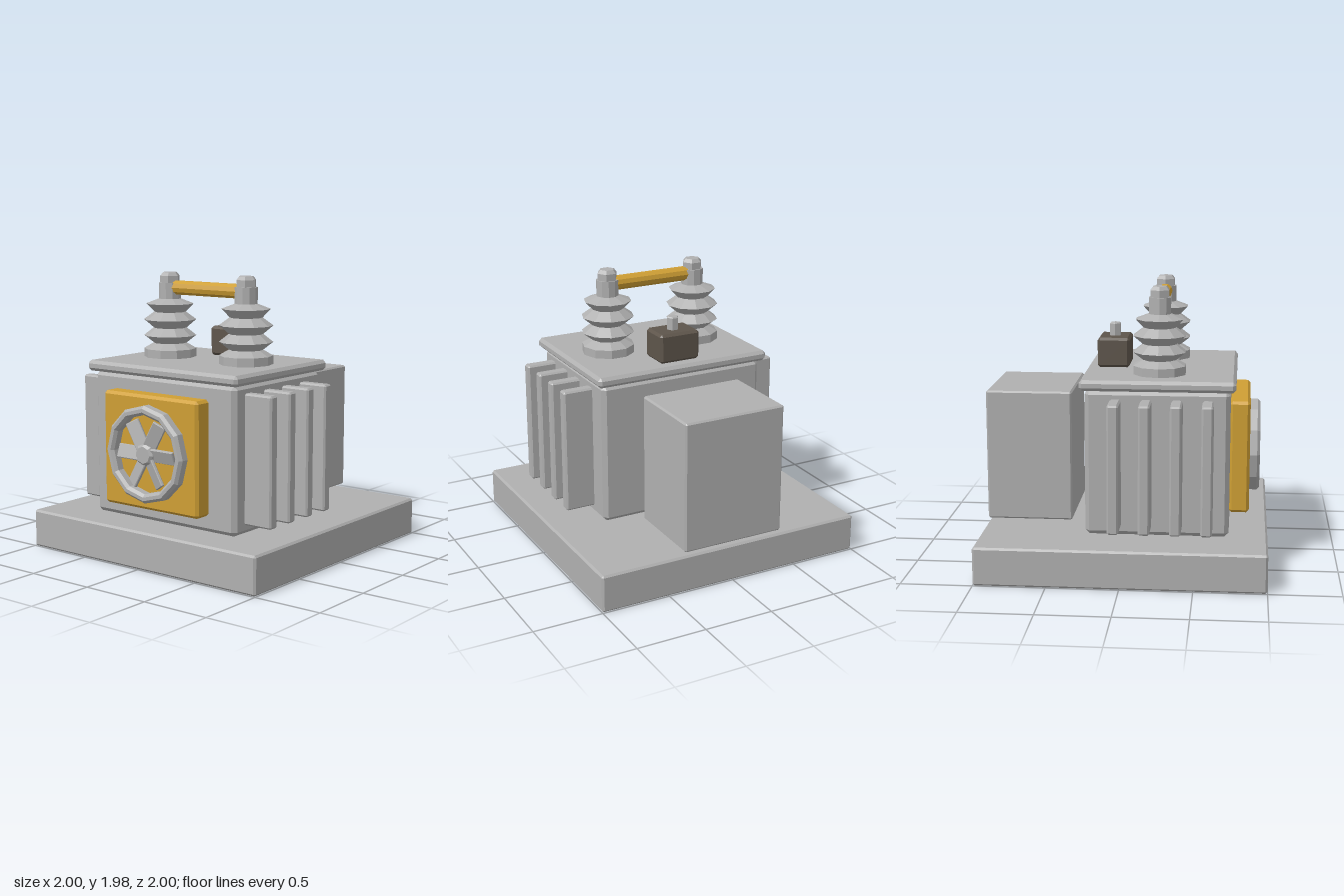
import * as THREE from 'three';
import { ConvexGeometry } from 'three/addons/geometries/ConvexGeometry.js';

export function createModel() {
  const model = new THREE.Group();
  model.name = 'powerTransformer';
  const material = (name, color, extra = {}) => {
    const m = new THREE.MeshStandardMaterial({ color });
    m.name = name;
    m.flatShading = true;
    return Object.assign(m, extra);
  };
  const grey = material('grey metal', 0xb0b0b0);
  const yellow = material('yellow paint', 0xcf9f34);
  const brown = material('dark brown', 0x5e554b);

  const add = (name, geometry, mat, parent = model) => {
    const mesh = new THREE.Mesh(geometry, mat);
    mesh.name = name;
    parent.add(mesh);
    return mesh;
  };

  // Box between two corners with every edge chamfered by c
  function chamferBox([x0, y0, z0], [x1, y1, z1], c) {
    const h = [(x1 - x0) / 2, (y1 - y0) / 2, (z1 - z0) / 2];
    const points = [];
    for (const sx of [-1, 1]) for (const sy of [-1, 1]) for (const sz of [-1, 1]) {
      for (let axis = 0; axis < 3; axis++) {
        const p = h.map((v, i) => (i === axis ? v : v - c));
        points.push(new THREE.Vector3(p[0] * sx, p[1] * sy, p[2] * sz));
      }
    }
    return new ConvexGeometry(points).translate((x0 + x1) / 2, (y0 + y1) / 2, (z0 + z1) / 2);
  }

  // Faceted turned part with corners on the x axis; profile runs bottom to top
  const turned = (profile, sides) => new THREE.LatheGeometry(
    profile.map(([r, y]) => new THREE.Vector2(r, y)), sides, Math.PI / 2);

  // Plinth, tank, lid and rear cabinet
  add('base', chamferBox([-1, 0, -1], [1, 0.27, 1], 0.014), grey);
  add('tank', chamferBox([-0.63, 0.27, -0.27], [0.63, 1.295, 0.73], 0.03), grey);
  add('lid', chamferBox([-0.67, 1.295, -0.305], [0.67, 1.37, 0.768], 0.022), grey);
  add('rearCabinet', chamferBox([-0.38, 0.295, -1], [0.38, 1.23, -0.39], 0.012), grey);

  // Cooling fins on both sides
  for (const side of [-1, 1]) {
    for (const z of [-0.057, 0.155, 0.368, 0.58]) {
      const x = [side * 0.6, side * 0.845].sort((a, b) => a - b);
      add('coolingFin', chamferBox([x[0], 0.335, z - 0.039], [x[1], 1.235, z + 0.039], 0.012), grey);
    }
  }

  // Fan housing with ring, blades and hub
  add('fanPanel', chamferBox([-0.42, 0.39, 0.725], [0.42, 1.19, 0.868], 0.02), yellow);
  const fan = new THREE.Group();
  fan.name = 'fan';
  fan.position.set(0, 0.79, 0.865);
  model.add(fan);
  const ring = [[0.275, 0], [0.34, 0], [0.34, 0.055], [0.32, 0.075], [0.295, 0.075], [0.275, 0.055], [0.275, 0]];
  add('fanRing', turned(ring, 12).rotateX(Math.PI / 2), grey, fan);
  for (let i = 0; i < 6; i++) {
    const blade = chamferBox([0.05, -0.05, -0.012], [0.25, 0.05, 0.012], 0.005)
      .rotateX(0.35).translate(0, 0, 0.035).rotateZ(i * Math.PI / 3);
    add('fanBlade', blade, grey, fan);
  }
  const hub = [[0, 0], [0.078, 0], [0.078, 0.055], [0.06, 0.072], [0, 0.072]];
  add('fanHub', turned(hub, 8).rotateX(Math.PI / 2), grey, fan);

  // Pair of ribbed insulators with hexagonal terminals
  const sheds = [[0, 1.365], [0.19, 1.365], [0.19, 1.43], [0.12, 1.47], [0.19, 1.525], [0.12, 1.58],
    [0.19, 1.64], [0.115, 1.695], [0.172, 1.755], [0.08, 1.79], [0, 1.79]];
  const neck = [[0, 1.78], [0.08, 1.78], [0.08, 1.905], [0, 1.905]];
  const cap = [[0, 1.9], [0.074, 1.9], [0.074, 1.955], [0.053, 1.98], [0, 1.98]];
  for (const side of [-1, 1]) {
    const insulator = new THREE.Group();
    insulator.name = 'insulator';
    insulator.position.set(side * 0.345, 0, 0.23);
    add('insulatorSheds', turned(sheds, 10), grey, insulator);
    add('insulatorNeck', turned(neck, 10), grey, insulator);
    add('terminalCap', turned(cap, 6), grey, insulator);
    model.add(insulator);
  }

  // Bar joining the terminals
  const bar = new THREE.CylinderGeometry(0.052, 0.052, 0.64, 10).rotateZ(Math.PI / 2);
  add('connectingBar', bar.translate(0, 1.872, 0.23), yellow);

  // Relay box and its plug on the lid
  add('relayBox', chamferBox([-0.155, 1.37, -0.228], [0.155, 1.582, 0.003], 0.018), brown);
  const plug = [[0, 1.57], [0.044, 1.57], [0.044, 1.668], [0.036, 1.676], [0, 1.676]];
  add('relayPlug', turned(plug, 6).translate(0, 0, -0.113), grey);

  return model;
}
